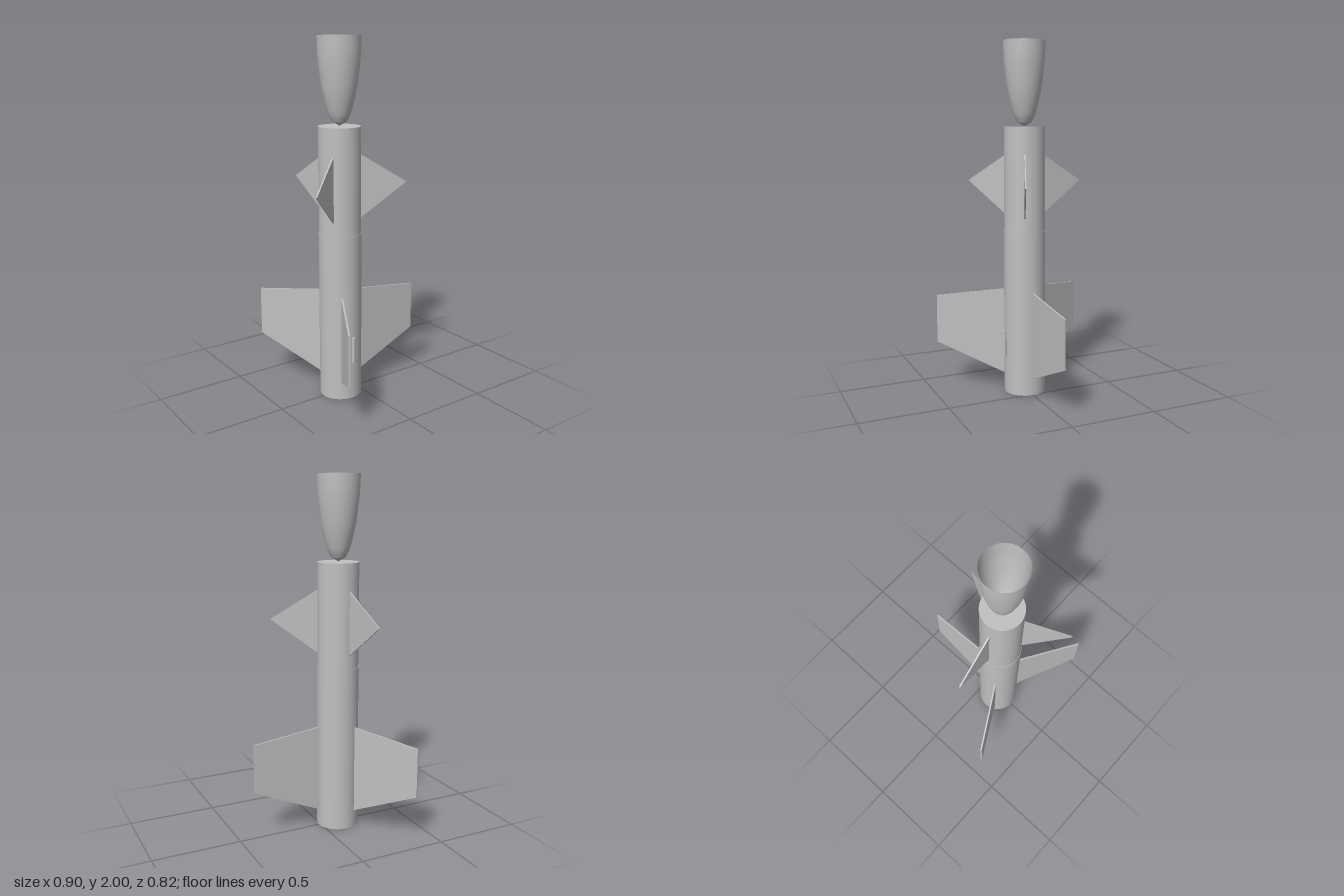
import * as THREE from 'three';

const AXIS_Z = 0.106;

export function createModel() {
  const model = new THREE.Group();
  model.name = 'rocket';
  const grey = new THREE.MeshStandardMaterial({ color: 0xc0c0c0 });
  grey.name = 'light grey';
  const shellGrey = new THREE.MeshStandardMaterial({ color: 0xc0c0c0, side: THREE.DoubleSide });
  shellGrey.name = 'light grey shell';

  // everything is placed relative to the rocket's axis
  const rocket = new THREE.Group();
  rocket.name = 'rocketAssembly';
  rocket.position.z = AXIS_Z;
  model.add(rocket);

  function add(name, geometry, material = grey) {
    const mesh = new THREE.Mesh(geometry, material);
    mesh.name = name;
    rocket.add(mesh);
    return mesh;
  }

  function tube(name, radius, y0, y1, sides = 64) {
    const mesh = add(name, new THREE.CylinderGeometry(radius, radius, y1 - y0, sides));
    mesh.position.y = (y0 + y1) / 2;
    return mesh;
  }

  // flat radial fin; outline is [distance from axis, height]
  function fin(name, outline, thickness, degrees) {
    const shape = new THREE.Shape(outline.map(([r, y]) => new THREE.Vector2(r, y)));
    const geometry = new THREE.ExtrudeGeometry(shape, { depth: thickness, bevelEnabled: false });
    geometry.translate(0, 0, -thickness / 2);
    add(name, geometry).rotation.y = -THREE.MathUtils.degToRad(degrees);
  }

  // body sections
  tube('lowerBody', 0.118, 0, 0.945);
  tube('upperBody', 0.1155, 0.945, 1.53);

  // upturned, open nose cone with a small pointed tip
  const profile = new THREE.SplineCurve([
    [0.04, 1.553], [0.062, 1.6], [0.088, 1.7], [0.104, 1.8], [0.114, 1.9], [0.118, 2],
  ].map(([r, y]) => new THREE.Vector2(r, y)));
  add('noseCone', new THREE.LatheGeometry(profile.getPoints(30), 64), shellGrey);
  add('noseTip', new THREE.LatheGeometry(
    [new THREE.Vector2(0, 1.532), new THREE.Vector2(0.04, 1.553)], 64), shellGrey);

  // three fins of each kind, evenly spaced
  const tailOutline = [[0.114, 0.095], [0.517, 0.272], [0.517, 0.55], [0.114, 0.6]];
  const frontOutline = [[0.112, 1.02], [0.376, 1.215], [0.112, 1.378]];
  for (let i = 0; i < 3; i++) {
    fin('tailFin' + (i + 1), tailOutline, 0.009, 30 + i * 120);
    fin('upperFin' + (i + 1), frontOutline, 0.007, 52.8 + i * 120);
  }

  // launch lug on the left side
  tube('launchLug', 0.01, 0.22, 0.365, 24).position.x = 0.127;

  return model;
}
